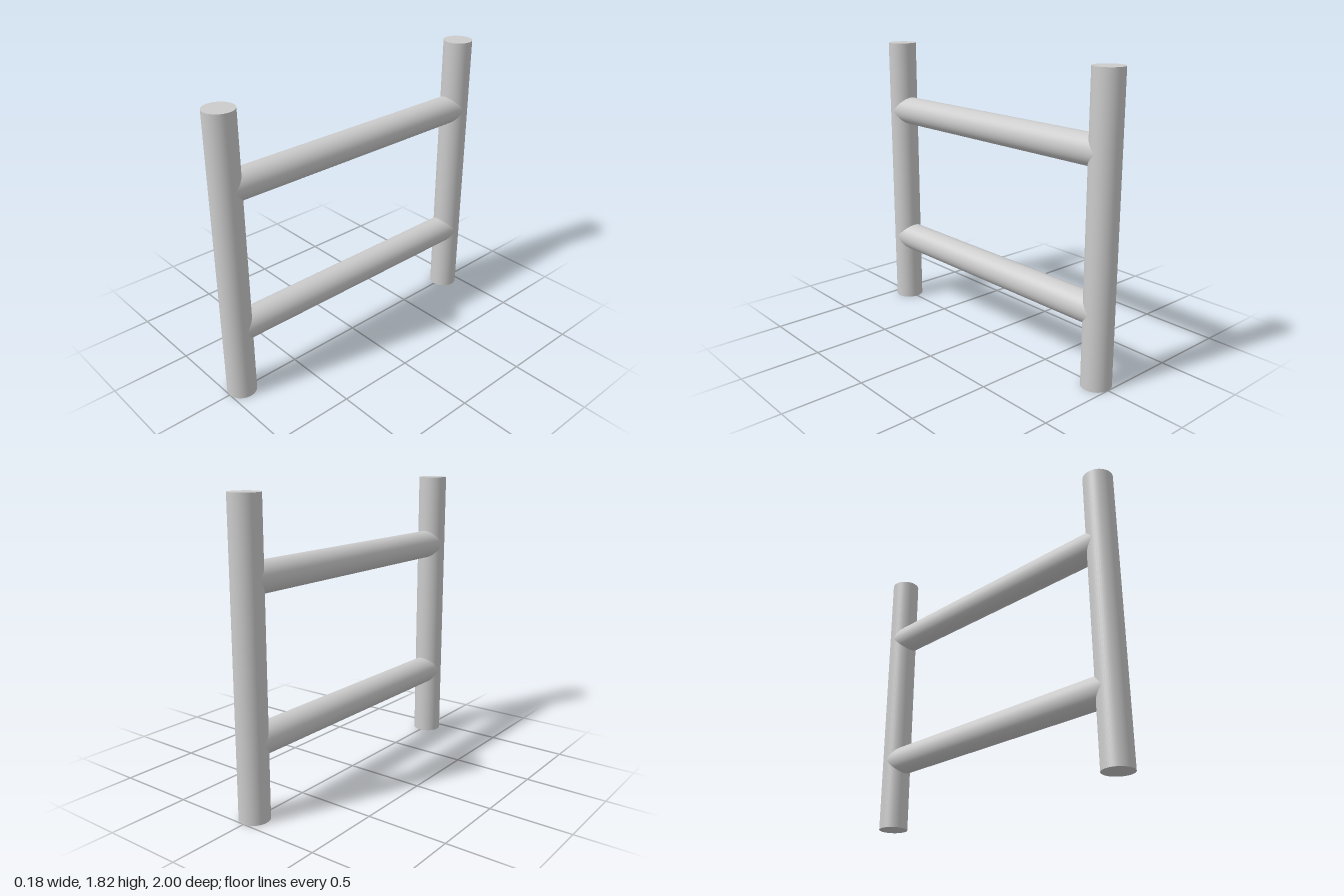
import * as THREE from 'three';

const RADIUS = 0.091;
const HEIGHT = 1.82;
const POST_Z = 0.909;
const SEGMENTS = 48;

export function createModel() {
  const group = new THREE.Group();
  group.name = 'ladderFrame';
  const material = new THREE.MeshStandardMaterial({ color: 0xcccccc });

  // Two upright posts, front and back
  const postGeometry = new THREE.CylinderGeometry(RADIUS, RADIUS, HEIGHT, SEGMENTS);
  for (const side of [1, -1]) {
    const post = new THREE.Mesh(postGeometry, material);
    post.name = side > 0 ? 'frontPost' : 'backPost';
    post.position.set(0, HEIGHT / 2, side * POST_Z);
    group.add(post);
  }

  // Two rails running between the post axes, at a quarter and three quarters of the height
  const railGeometry = new THREE.CylinderGeometry(RADIUS, RADIUS, POST_Z * 2, SEGMENTS);
  railGeometry.rotateX(Math.PI / 2);
  for (const [name, fraction] of [['lowerRail', 0.25], ['upperRail', 0.75]]) {
    const rail = new THREE.Mesh(railGeometry, material);
    rail.name = name;
    rail.position.y = HEIGHT * fraction;
    group.add(rail);
  }

  return group;
}
